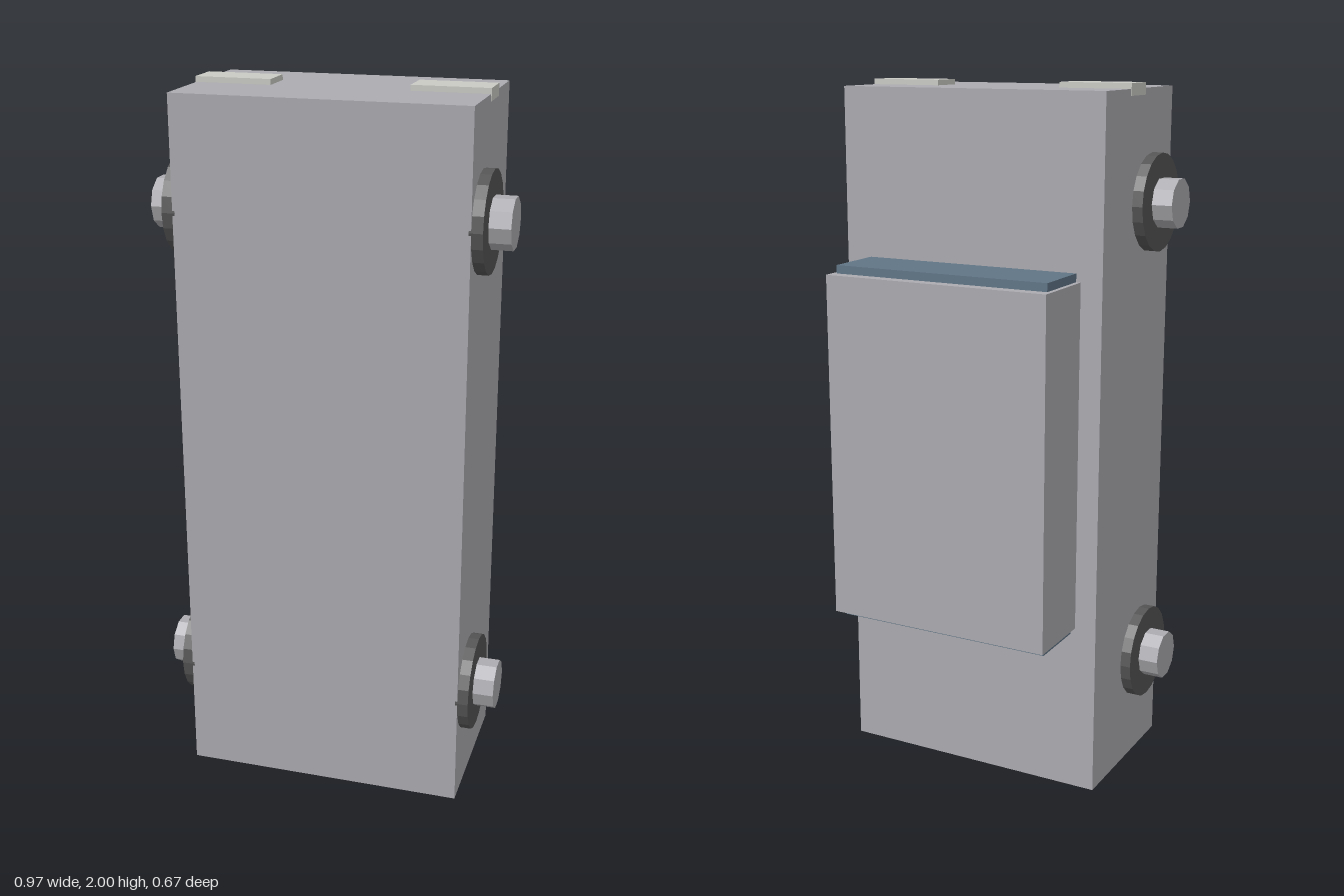
import * as THREE from 'three';

const mat = (name, color) => {
  const m = new THREE.MeshStandardMaterial({ color, flatShading: true });
  m.name = name;
  return m;
};

export function createModel() {
  const car = new THREE.Group();
  car.name = 'uprightCar';

  const grey = mat('bodyGrey', 0xacabb0);
  const blue = mat('windowBlue', 0x607586);
  const dark = mat('tyreDark', 0x555555);
  const pale = mat('headlightPale', 0xcacac5);
  const red = mat('tailLightRed', 0xc4564a);

  // Box given by its lower and upper corners
  const box = (name, material, [x0, y0, z0], [x1, y1, z1]) => {
    const mesh = new THREE.Mesh(new THREE.BoxGeometry(x1 - x0, y1 - y0, z1 - z0), material);
    mesh.position.set((x0 + x1) / 2, (y0 + y1) / 2, (z0 + z1) / 2);
    mesh.name = name;
    car.add(mesh);
  };

  // Body standing on its tail, with the cabin on the back face
  box('body', grey, [-0.396, 0.02, -0.125], [0.396, 1.985, 0.333]);
  box('cabin', grey, [-0.333, 0.51, -0.333], [0.333, 1.492, -0.125]);

  // Windscreen and rear window
  box('windscreen', blue, [-0.32, 1.492, -0.3], [0.32, 1.515, -0.125]);
  box('rearWindow', blue, [-0.32, 0.492, -0.3], [0.32, 0.51, -0.125]);

  // Tail light strip
  box('tailLight', red, [-0.317, 0, 0.035], [0.317, 0.02, 0.135]);

  // Disc with its axle along x, from x0 to x1
  const disc = (name, material, radius, sides, x0, x1, y) => {
    const geo = new THREE.CylinderGeometry(radius, radius, Math.abs(x1 - x0), sides);
    geo.rotateZ(Math.PI / 2);
    const mesh = new THREE.Mesh(geo, material);
    mesh.position.set((x0 + x1) / 2, y, 0.198);
    mesh.name = name;
    car.add(mesh);
  };

  for (const side of [-1, 1]) {
    const name = side > 0 ? 'left' : 'right';
    // Headlight wrapping just over the side edge
    const xs = [side * 0.188, side * 0.398].sort((a, b) => a - b);
    box(name + 'Headlight', pale, [xs[0], 1.967, 0.034], [xs[1], 2, 0.133]);
    // Wheels with protruding hubs
    for (const [end, y] of [['Rear', 0.335], ['Front', 1.675]]) {
      disc(name + end + 'Wheel', dark, 0.136, 20, side * 0.39, side * 0.426, y);
      disc(name + end + 'Hub', grey, 0.07, 10, side * 0.42, side * 0.484, y);
    }
  }
  return car;
}
